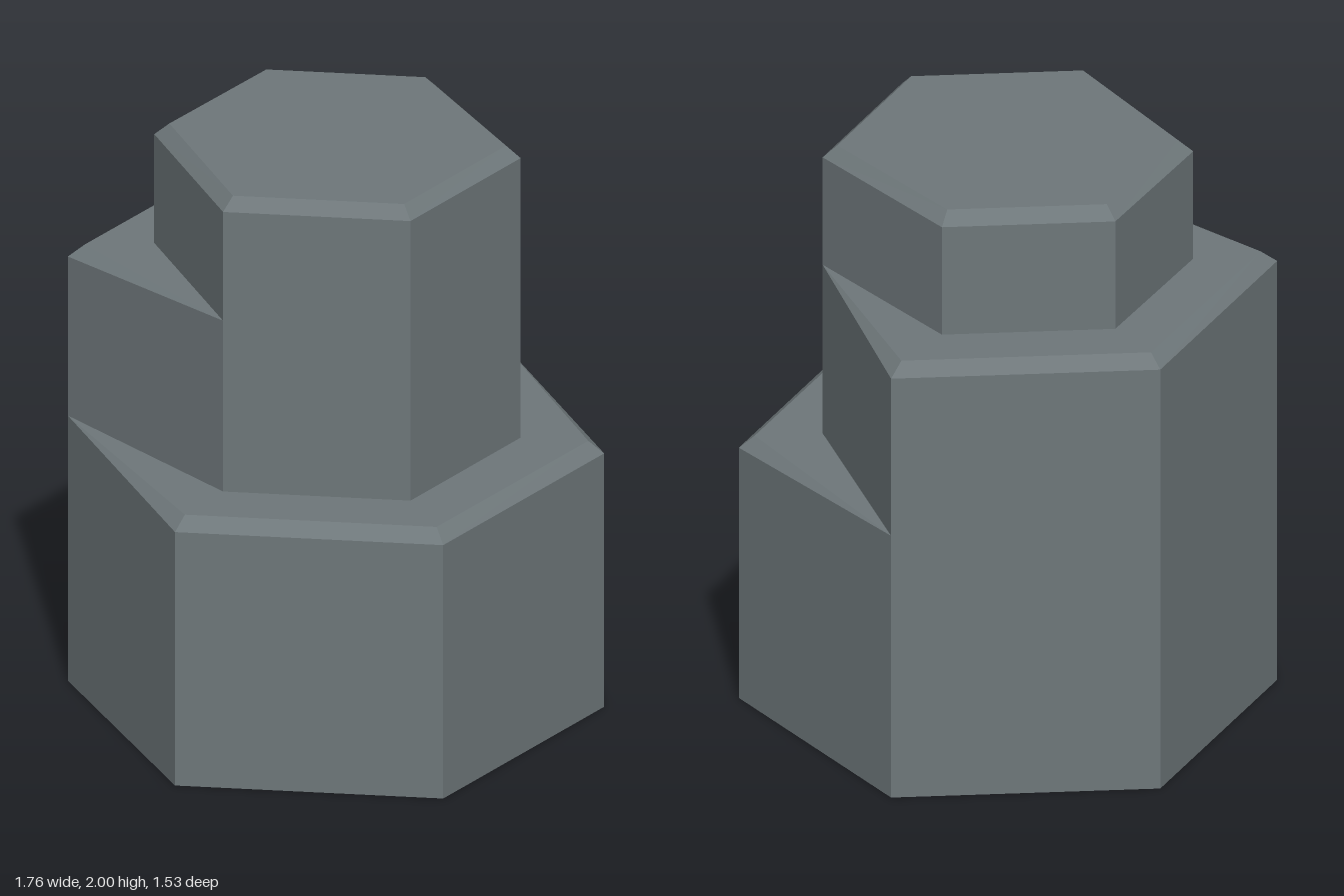
import * as THREE from 'three';

// Six-sided tier. Each corner is [x, z] (plain) or [x, z, insetX, insetZ] (bevelled),
// listed anticlockwise as seen from above.
function tierGeometry(corners, yBottom, yTop, bevel, withBase) {
  const positions = [];
  const tri = (a, b, c) => {
    const area = b.clone().sub(a).cross(c.clone().sub(a)).length();
    if (area > 1e-6) for (const p of [a, b, c]) positions.push(p.x, p.y, p.z);
  };
  const V = (x, y, z) => new THREE.Vector3(x, y, z);

  // Cross-sections: foot, top of wall, inner edge of bevel
  const foot = corners.map(([x, z]) => V(x, yBottom, z));
  const rim = corners.map((c) => V(c[0], c.length > 2 ? yTop - bevel : yTop, c[1]));
  const cap = corners.map((c) => V(c[2] ?? c[0], yTop, c[3] ?? c[1]));

  const band = (lower, upper) => lower.forEach((a, i) => {
    const j = (i + 1) % lower.length;
    tri(a, lower[j], upper[j]);
    tri(a, upper[j], upper[i]);
  });
  band(foot, rim);
  band(rim, cap);
  for (let i = 1; i < cap.length - 1; i++) {
    tri(cap[0], cap[i], cap[i + 1]);
    if (withBase) tri(foot[0], foot[i + 1], foot[i]);
  }

  const geometry = new THREE.BufferGeometry();
  geometry.setAttribute('position', new THREE.Float32BufferAttribute(positions, 3));
  geometry.computeVertexNormals();
  return geometry;
}

export function createModel() {
  const group = new THREE.Group();
  group.name = 'steppedHexColumn';

  const stone = new THREE.MeshStandardMaterial({ color: 0x6e777a });
  stone.name = 'slate grey';

  const add = (name, ...args) => {
    const mesh = new THREE.Mesh(tierGeometry(...args), stone);
    mesh.name = name;
    group.add(mesh);
  };

  // Wide base; the corners carried up into the middle step have no bevel
  add('lowerColumn', [
    [0.88, 0, 0.828, 0], [0.44, -0.765], [-0.44, -0.765],
    [-0.88, 0], [-0.44, 0.765, -0.413, 0.717], [0.44, 0.765, 0.413, 0.717],
  ], 0, 0.953, 0.042, true);

  // Middle step: wide at the back, narrow at the front
  add('middleColumn', [
    [0.606, 0], [0.44, -0.765, 0.403, -0.72], [-0.44, -0.765, -0.413, -0.72],
    [-0.88, 0, -0.825, -0.01], [-0.31, 0.525], [0.305, 0.525],
  ], 0.953, 1.567, 0.042, false);

  // Narrow top, bevelled all round
  add('upperColumn', [
    [0.606, 0, 0.558, 0], [0.257, -0.54, 0.236, -0.496], [-0.31, -0.54, -0.286, -0.496],
    [-0.602, -0.047, -0.552, -0.045], [-0.31, 0.525, -0.282, 0.486], [0.305, 0.525, 0.28, 0.486],
  ], 1.567, 2, 0.042, false);

  return group;
}
